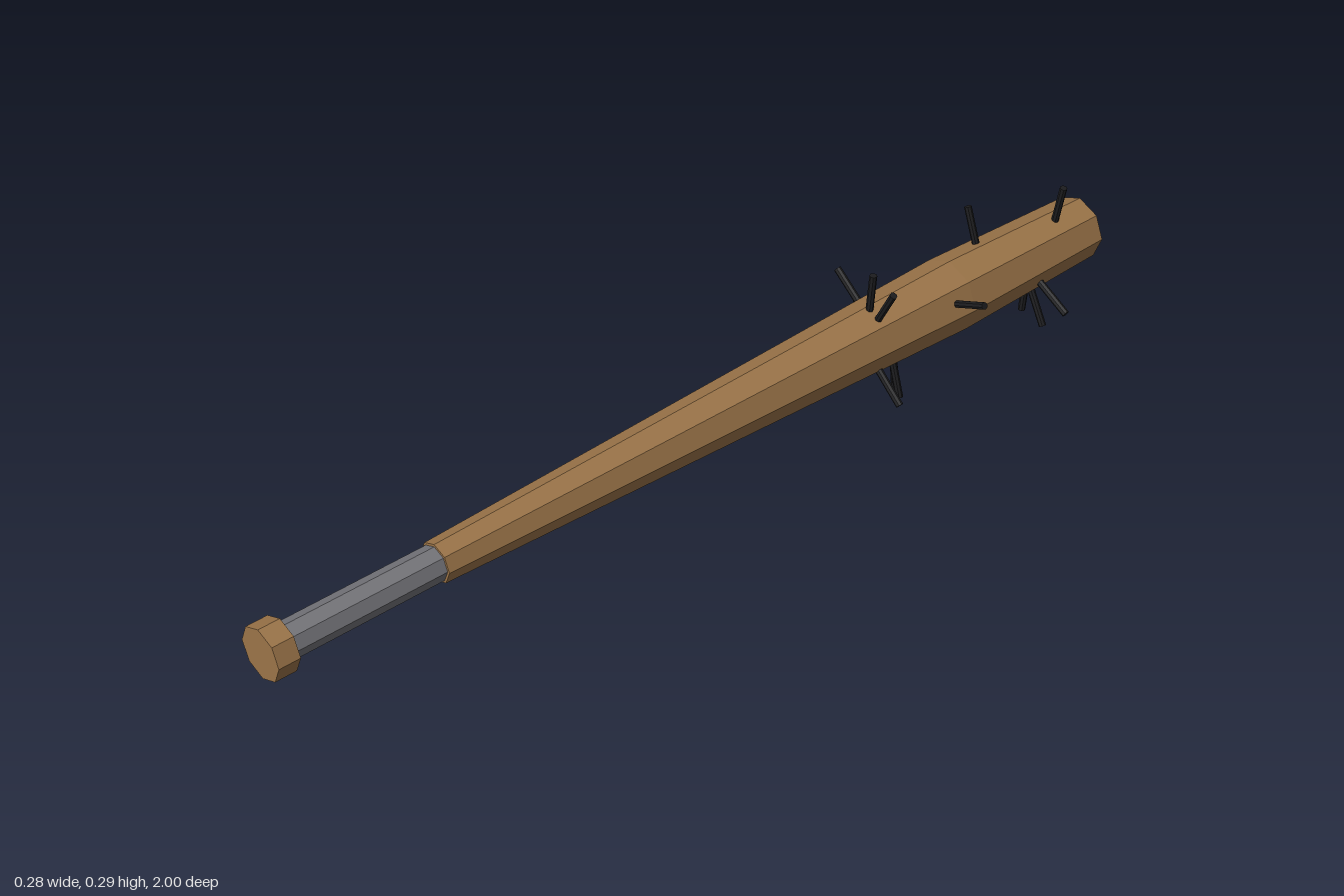
import * as THREE from 'three';

const AXIS_X = 0.002, AXIS_Y = 0.149;

const paint = (color) => {
  const m = new THREE.MeshStandardMaterial({ color });
  m.flatShading = true;
  return m;
};

// Eight-sided turned part along z, from [radius, z] pairs with rising z.
function turned(name, profile, material) {
  const points = profile.map(([r, z]) => new THREE.Vector2(r, z));
  const geometry = new THREE.LatheGeometry(points, 8).rotateX(Math.PI / 2);
  const mesh = new THREE.Mesh(geometry, material);
  mesh.name = name;
  mesh.position.set(AXIS_X, AXIS_Y, 0);
  return mesh;
}

// Straight nail from just below the wood surface to its tip.
function nail([bx, by, tx, ty, z], material) {
  const base = new THREE.Vector3(bx, by, z);
  const tip = new THREE.Vector3(tx, ty, z);
  const dir = tip.clone().sub(base).normalize();
  base.addScaledVector(dir, -0.02);
  const length = base.distanceTo(tip);
  const mesh = new THREE.Mesh(new THREE.CylinderGeometry(0.0075, 0.0075, length, 8), material);
  mesh.name = 'nail';
  mesh.position.copy(base).lerp(tip, 0.5);
  mesh.quaternion.setFromUnitVectors(new THREE.Vector3(0, 1, 0), dir);
  return mesh;
}

export function createModel() {
  const group = new THREE.Group();
  group.name = 'nailedBat';
  const wood = paint(0x9c7549);
  const tape = paint(0x75757a);
  const iron = paint(0x1c1c1e);

  // Tapered barrel, wrapped grip and end knob
  group.add(turned('barrel', [[0, -1], [0.066, -1], [0.076, -0.63], [0.04, 0.63], [0, 0.63]], wood));
  group.add(turned('grip', [[0, 0.6], [0.035, 0.6], [0.035, 0.97], [0, 0.97]], tape));
  group.add(turned('knob', [[0, 0.955], [0.053, 0.955], [0.053, 1], [0, 1]], wood));

  // Nails: base x, base y, tip x, tip y, z
  const nails = new THREE.Group();
  nails.name = 'nails';
  [
    [0.008, 0.215, 0.015, 0.295, -0.41],
    [0.020, 0.215, 0.035, 0.291, -0.91],
    [0.035, 0.210, 0.070, 0.277, -0.41],
    [-0.025, 0.215, -0.050, 0.284, -0.73],
    [-0.053, 0.190, -0.112, 0.236, -0.44],
    [-0.068, 0.130, -0.140, 0.114, -0.52],
    [-0.053, 0.102, -0.112, 0.059, -0.76],
    [0.068, 0.177, 0.137, 0.207, -0.59],
    [0.065, 0.110, 0.130, 0.075, -0.835],
    [0.055, 0.095, 0.108, 0.049, -0.40],
    [0.037, 0.083, 0.072, 0.018, -0.835],
    [0.025, 0.085, 0.048, 0.009, -0.46],
    [0.008, 0.075, 0.016, 0.002, -0.48],
    [-0.006, 0.075, -0.013, 0.002, -0.865],
  ].forEach((n) => nails.add(nail(n, iron)));
  group.add(nails);

  return group;
}
